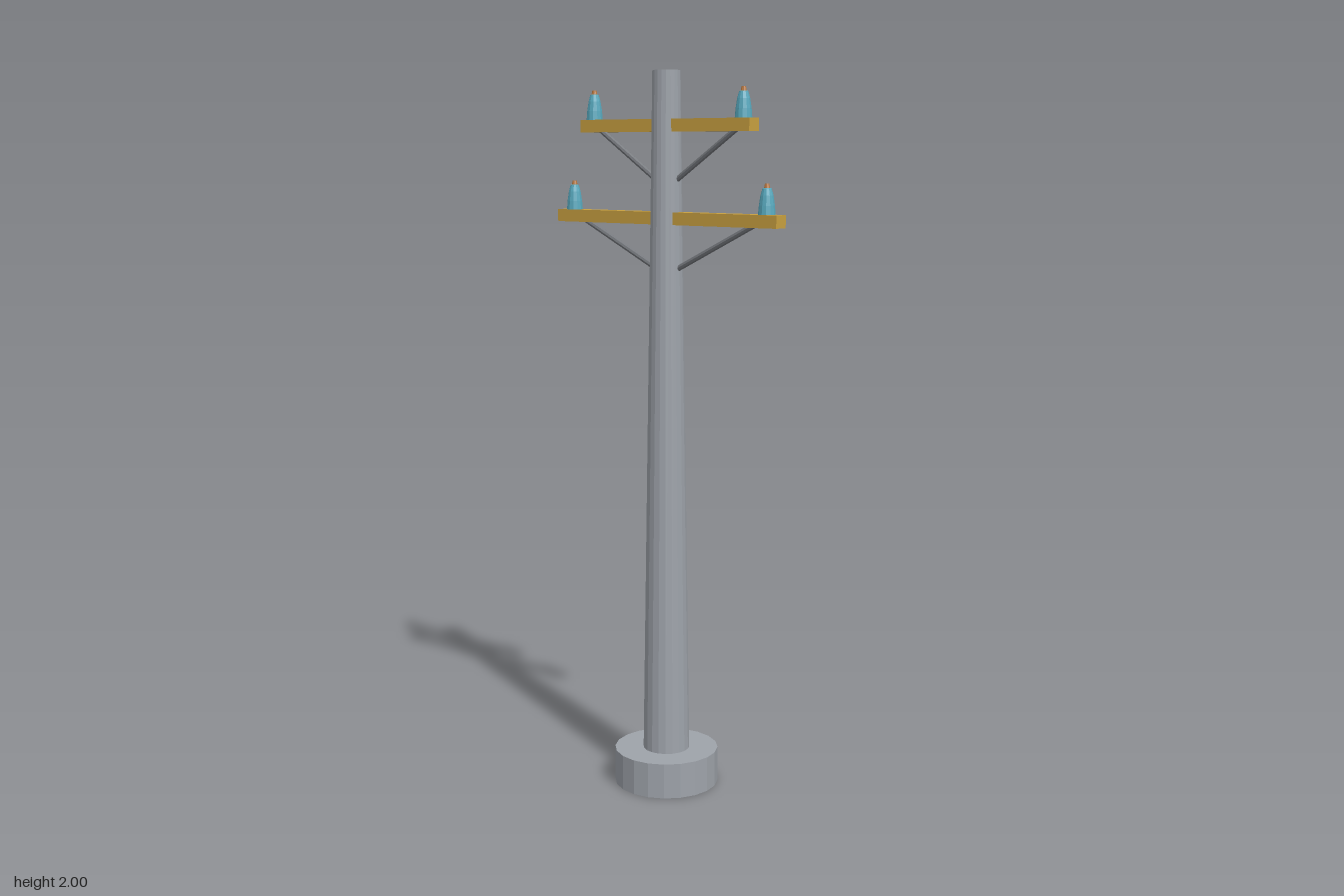
import * as THREE from 'three';

const flat = (name, color) => {
  const m = new THREE.MeshStandardMaterial({ color, flatShading: true });
  m.name = name;
  return m;
};

export function createModel() {
  const concrete = flat('concrete', 0x9ea3aa);
  const timber = flat('ochre timber', 0xc8a040);
  const glass = flat('blue glass', 0x58a9be);
  const copper = flat('copper', 0xb87840);
  const steel = flat('dark steel', 0x74777c);

  const root = new THREE.Group();
  root.name = 'utilityPole';

  const add = (name, geometry, material, x, y, parent = root) => {
    const mesh = new THREE.Mesh(geometry, material);
    mesh.name = name;
    mesh.position.set(x, y, 0);
    parent.add(mesh);
    return mesh;
  };

  // Footing and tapered shaft
  add('footing', new THREE.CylinderGeometry(0.147, 0.147, 0.1, 20), concrete, 0, 0.05);
  add('shaft', new THREE.CylinderGeometry(0.038, 0.066, 1.92, 20), concrete, 0, 1.04);

  // Insulator: bell-shaped body with a small metal tip
  const bell = new THREE.LatheGeometry([
    [0, 0], [0.023, 0], [0.021, 0.024], [0.017, 0.05], [0.012, 0.068], [0, 0.071],
  ].map(([r, y]) => new THREE.Vector2(r, y)), 12);
  const tip = new THREE.CylinderGeometry(0.006, 0.009, 0.014, 10);

  // Cross arms, each with a mirrored brace and insulator
  const arms = [
    { name: 'upperArm', half: 0.29, y: 1.855, post: 0.256, low: [0.038, 1.712], high: [0.235, 1.845] },
    { name: 'lowerArm', half: 0.378, y: 1.607, post: 0.333, low: [0.038, 1.471], high: [0.305, 1.602] },
  ];
  for (const arm of arms) {
    const group = new THREE.Group();
    group.name = arm.name;
    root.add(group);
    add('crossArm', new THREE.BoxGeometry(arm.half * 2, 0.034, 0.043), timber, 0, arm.y, group);

    for (const side of [-1, 1]) {
      const dx = arm.high[0] - arm.low[0];
      const dy = arm.high[1] - arm.low[1];
      const brace = add('brace', new THREE.CylinderGeometry(0.008, 0.008, Math.hypot(dx, dy), 8), steel,
        side * (arm.low[0] + dx / 2), arm.low[1] + dy / 2, group);
      brace.rotation.z = -side * Math.atan2(dx, dy);

      const top = arm.y + 0.017;
      add('insulator', bell, glass, side * arm.post, top, group);
      add('insulatorTip', tip, copper, side * arm.post, top + 0.073, group);
    }
  }
  return root;
}
